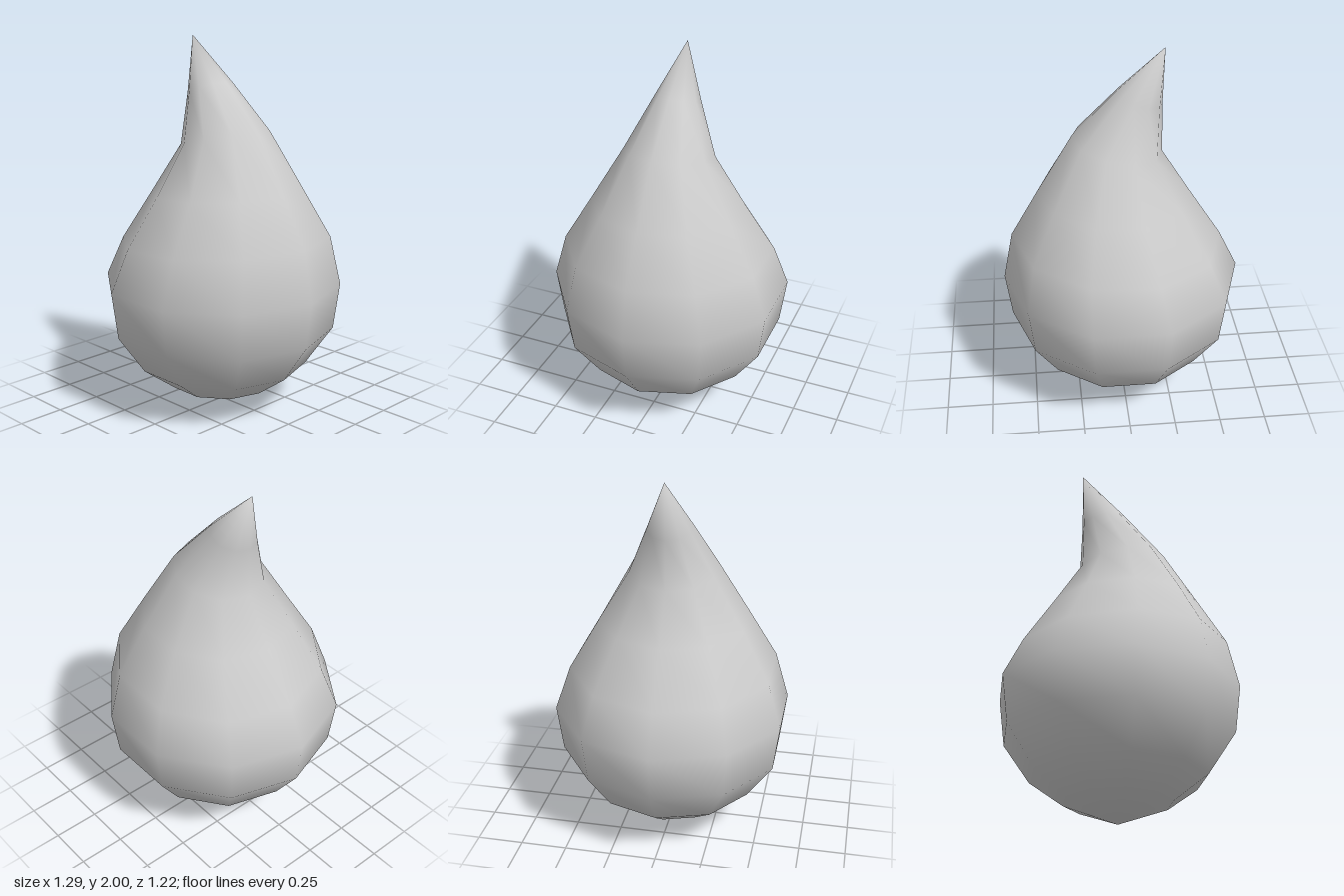
import * as THREE from 'three';
import { mergeVertices } from 'three/addons/utils/BufferGeometryUtils.js';

// Each ring: radius, height, sideways shift of its centre, rise towards +x
const RINGS = [
  [0, 0, 0, 0],
  [0.285, 0.11, 0, 0],
  [0.465, 0.24, 0, 0],
  [0.61, 0.45, 0, 0],
  [0.643, 0.7, 0, 0],
  [0.565, 0.94, 0.025, 0.028],
  [0.407, 1.2, 0.038, 0.02],
  [0.237, 1.48, 0.023, 0.05],
  [0.12, 1.735, -0.09, 0.035],
  [0, 2, -0.22, 0],
];

export function createModel() {
  const group = new THREE.Group();
  group.name = 'droplet';

  // Ten-sided lathe with corners on the x axis
  const profile = RINGS.map(([r, y]) => new THREE.Vector2(r, y));
  let geometry = new THREE.LatheGeometry(profile, 10, Math.PI / 2);

  // Shift and tilt the upper rings so the tip curls to one side
  const pos = geometry.attributes.position;
  for (let i = 0; i < pos.count; i++) {
    const [r, y, shift, rise] = RINGS[i % RINGS.length];
    const x = pos.getX(i);
    pos.setXY(i, x + shift, y + (r ? (rise * x) / r : 0));
  }

  // Weld the seam and poles for smooth shading all round
  geometry.deleteAttribute('uv');
  geometry.deleteAttribute('normal');
  geometry = mergeVertices(geometry, 1e-4);
  geometry.computeVertexNormals();

  const drop = new THREE.Mesh(geometry, new THREE.MeshStandardMaterial({ color: 0xcccccc }));
  drop.name = 'dropBody';
  group.add(drop);
  return group;
}
